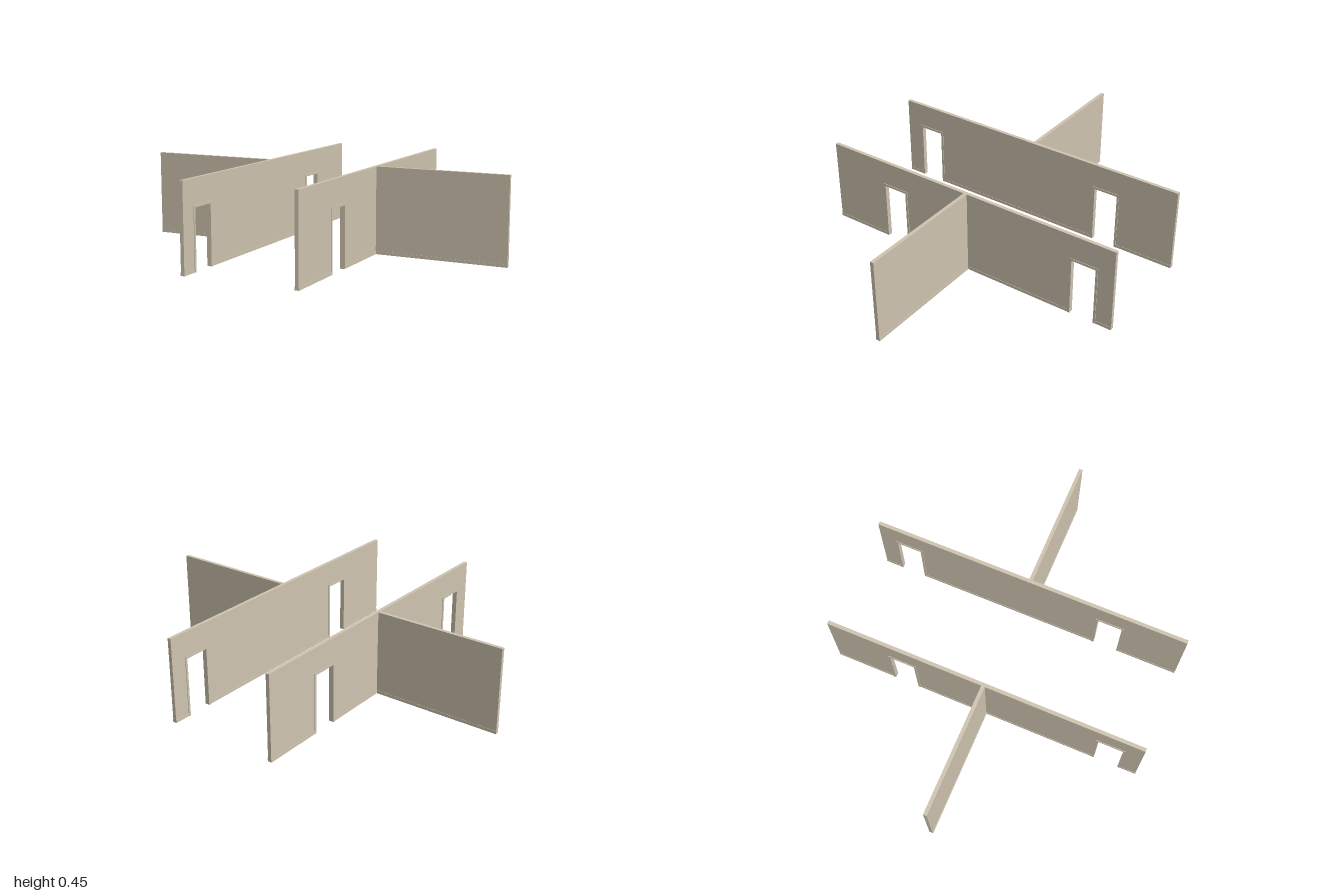
import * as THREE from 'three';

const HEIGHT = 0.45, HALF_LENGTH = 0.85, WALL_X = 0.3;
const WALL_T = 0.019, BASE_T = 0.0225, CASING_T = 0.025;
const BASE_H = 0.016, DOOR_W = 0.132, DOOR_H = 0.31, TRIM = 0.012;

const plaster = new THREE.MeshStandardMaterial({ color: 0xd0c5b1 });
plaster.name = 'warm plaster';

function mesh(name, geometry) {
  const m = new THREE.Mesh(geometry, plaster);
  m.name = name;
  return m;
}

// Upright slab from a (z, y) outline, centred on x = 0
function slab(points, thickness) {
  const shape = new THREE.Shape(points.map(([z, y]) => new THREE.Vector2(z, y)));
  const g = new THREE.ExtrudeGeometry(shape, { depth: thickness, bevelEnabled: false });
  return g.translate(0, 0, -thickness / 2).rotateY(-Math.PI / 2);
}

function box(name, w, h, d, x, y, z) {
  return mesh(name, new THREE.BoxGeometry(w, h, d).translate(x, y, z));
}

// Long wall with doorways, door casings and skirting
function longWall(doors) {
  const group = new THREE.Group();
  group.name = 'longWall';
  const half = DOOR_W / 2, mid = half + TRIM / 2, outer = half + TRIM;

  const outline = [[-HALF_LENGTH, 0]];
  let start = -HALF_LENGTH;
  const skirt = (a, b) => group.add(
    box('skirting', BASE_T, BASE_H, b - a, 0, BASE_H / 2, (a + b) / 2));

  for (const z of doors) {
    const top = DOOR_H + TRIM / 2;
    outline.push([z - mid, 0], [z - mid, top], [z + mid, top], [z + mid, 0]);
    skirt(start, z - mid);
    start = z + mid;
    group.add(mesh('doorCasing', slab([
      [z - outer, 0], [z - half, 0], [z - half, DOOR_H], [z + half, DOOR_H],
      [z + half, 0], [z + outer, 0], [z + outer, DOOR_H + TRIM], [z - outer, DOOR_H + TRIM],
    ], CASING_T)));
  }
  skirt(start, HALF_LENGTH);
  outline.push([HALF_LENGTH, 0], [HALF_LENGTH, HEIGHT], [-HALF_LENGTH, HEIGHT]);
  group.add(mesh('wallPanel', slab(outline, WALL_T)));
  group.position.x = WALL_X;
  return group;
}

// Plain wall running outward from the long wall
function crossWall() {
  const group = new THREE.Group();
  group.name = 'crossWall';
  const inner = WALL_X + WALL_T / 2, length = 1 - inner, x = (1 + inner) / 2;
  group.add(box('wallPanel', length, HEIGHT, WALL_T, x, HEIGHT / 2, 0));
  group.add(box('skirting', length, BASE_H, BASE_T, x, BASE_H / 2, 0));
  return group;
}

export function createModel() {
  const model = new THREE.Group();
  model.name = 'corridorWalls';
  // The two sides are half-turn copies of each other
  for (const [name, turn] of [['leftSide', 0], ['rightSide', Math.PI]]) {
    const side = new THREE.Group();
    side.name = name;
    side.add(longWall([-0.685, 0.45]), crossWall());
    side.rotation.y = turn;
    model.add(side);
  }
  return model;
}
